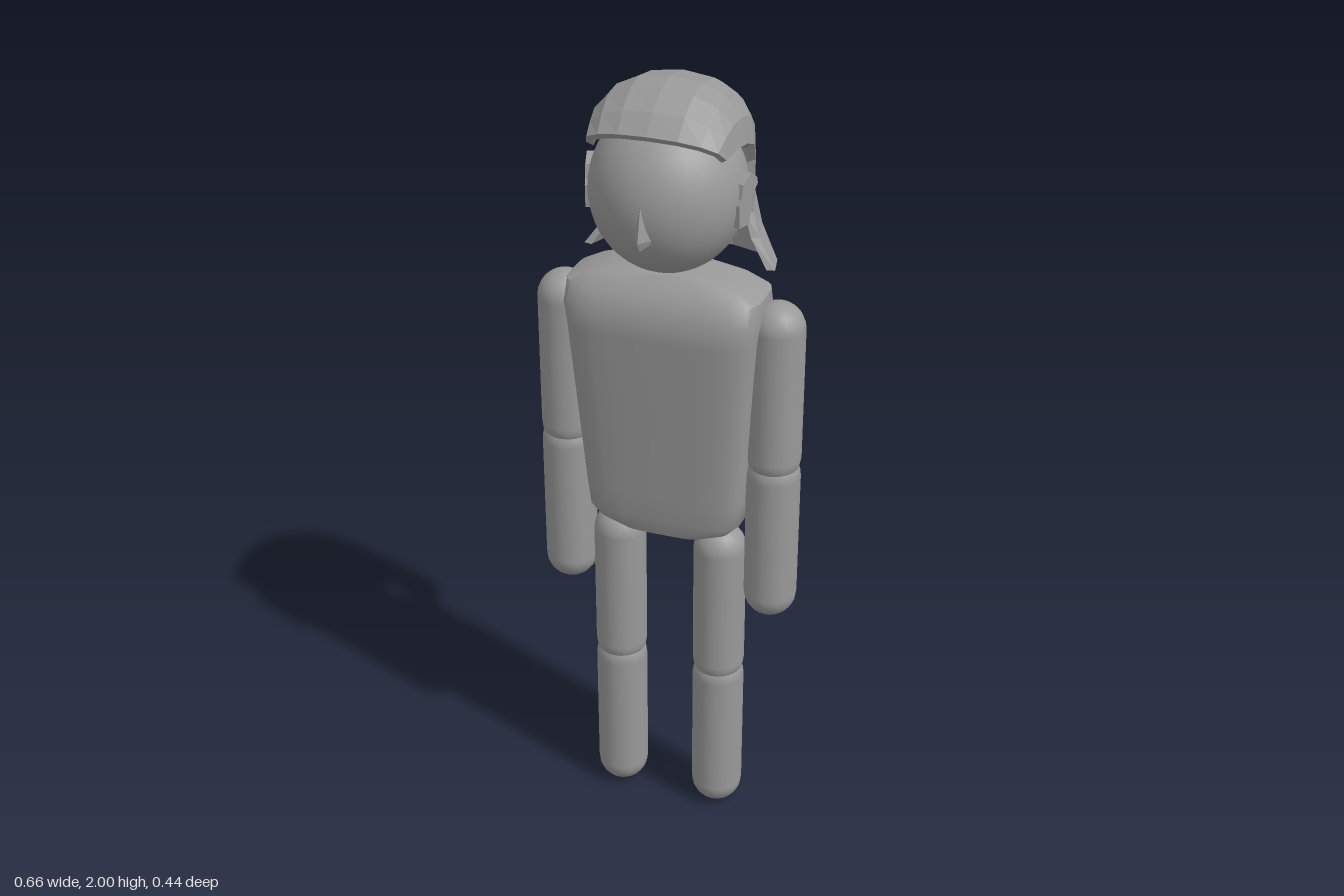
import * as THREE from 'three';
import { toCreasedNormals } from 'three/addons/utils/BufferGeometryUtils.js';
import { ConvexGeometry } from 'three/addons/geometries/ConvexGeometry.js';

const grey = new THREE.MeshStandardMaterial({ color: 0x999999 });
grey.name = 'plain grey';

function fromIndexed(pos, idx) {
  const g = new THREE.BufferGeometry();
  g.setAttribute('position', new THREE.Float32BufferAttribute(pos, 3));
  g.setIndex(idx);
  return g;
}

// Torso: rounded-box cross-sections [y, half width, front z, back z]
function torsoGeometry() {
  const rows = [
    [0.845, 0.11, 0.08, -0.05], [0.865, 0.17, 0.085, -0.065], [0.89, 0.195, 0.09, -0.075],
    [0.957, 0.203, 0.095, -0.09], [1.2, 0.22, 0.113, -0.082], [1.4, 0.235, 0.13, -0.094],
    [1.455, 0.242, 0.133, -0.1], [1.505, 0.238, 0.11, -0.085], [1.53, 0.19, 0.088, -0.07],
    [1.548, 0.11, 0.07, -0.055],
  ];
  const n = 32, pos = [], idx = [];
  const soft = (t) => Math.sign(t) * Math.pow(Math.abs(t), 0.45);
  for (const [y, w, zf, zb] of rows) {
    for (let j = 0; j < n; j++) {
      const a = (j / n) * Math.PI * 2;
      pos.push(w * soft(Math.cos(a)), y, (zf + zb) / 2 + ((zf - zb) / 2) * soft(Math.sin(a)));
    }
  }
  for (let i = 0; i < rows.length - 1; i++) {
    for (let j = 0; j < n; j++) {
      const a = i * n + j, b = i * n + ((j + 1) % n);
      idx.push(a, a + n, b, b, a + n, b + n);
    }
  }
  const last = (rows.length - 1) * n, low = rows.length * n;
  pos.push(0, rows[0][0], 0.015, 0, 1.55, 0.008);
  for (let j = 0; j < n; j++) {
    const k = (j + 1) % n;
    idx.push(low, j, k, low + 1, last + k, last + j);
  }
  return toCreasedNormals(fromIndexed(pos, idx), 0.75);
}

// Hair: a faceted shell swept from the fringe over the crown to the back hem
function hairGeometry() {
  // [centre y, centre z, edge x, edge y, edge z]
  const rows = [
    [1.912, 0.155, 0.165, 1.86, 0.1], [1.955, 0.115, 0.17, 1.865, 0.07],
    [1.99, 0.06, 0.175, 1.868, 0.04], [2.0, 0, 0.177, 1.86, -0.01],
    [1.985, -0.085, 0.178, 1.84, -0.06], [1.955, -0.15, 0.172, 1.79, -0.095],
    [1.885, -0.2, 0.167, 1.72, -0.1], [1.735, -0.212, 0.168, 1.66, -0.095],
    [1.63, -0.22, 0.19, 1.605, -0.078], [1.525, -0.218, 0.237, 1.54, -0.053],
  ];
  const n = 9, count = rows.length * n, outer = [], inner = [], idx = [];
  for (const [cy, cz, ex, ey, ez] of rows) {
    for (let j = 0; j < n; j++) {
      const a = (j / (n - 1) - 0.5) * Math.PI;
      const s = Math.sign(a) * Math.pow(Math.abs(Math.sin(a)), 0.9);
      const c = Math.pow(Math.max(0, Math.cos(a)), 0.85);
      const p = new THREE.Vector3(ex * s, ey + (cy - ey) * c, ez + (cz - ez) * c);
      const inward = new THREE.Vector3(0, Math.min(p.y, 1.74), 0).sub(p).setLength(0.02);
      outer.push(...p.toArray());
      inner.push(...p.add(inward).toArray());
    }
  }
  for (let i = 0; i < rows.length - 1; i++) {
    for (let j = 0; j < n - 1; j++) {
      const a = i * n + j, b = a + 1, c = a + n, d = c + 1;
      idx.push(a, b, c, b, d, c);
      idx.push(a + count, c + count, b + count, b + count, c + count, d + count);
    }
  }
  // rim joining the outer and inner skins
  const rim = [];
  for (let j = 0; j < n - 1; j++) rim.push(j);
  for (let i = 0; i < rows.length - 1; i++) rim.push(i * n + n - 1);
  for (let j = n - 1; j > 0; j--) rim.push((rows.length - 1) * n + j);
  for (let i = rows.length - 1; i > 0; i--) rim.push(i * n);
  rim.forEach((a, k) => {
    const b = rim[(k + 1) % rim.length];
    idx.push(b, a, a + count, b, a + count, b + count);
  });
  const g = fromIndexed([...outer, ...inner], idx).toNonIndexed();
  g.computeVertexNormals();
  return g;
}

// Ear: a thin notched outline, drawn as (-z, y) about its middle
function earGeometry() {
  const outline = [
    [-0.038, -0.055], [0.0, -0.058], [0.013, -0.02], [0.012, 0.005], [0.036, 0.03],
    [0.034, 0.045], [0.008, 0.064], [-0.025, 0.045], [-0.032, 0.012], [-0.04, 0.0],
  ].map(([u, v]) => new THREE.Vector2(u, v));
  const g = new THREE.ExtrudeGeometry(new THREE.Shape(outline), { depth: 0.024, bevelEnabled: false });
  return g.translate(0, 0, -0.012);
}

export function createModel() {
  const model = new THREE.Group();
  model.name = 'figure';
  const add = (name, geometry, x = 0, y = 0, z = 0) => {
    const mesh = new THREE.Mesh(geometry, grey);
    mesh.name = name;
    mesh.position.set(x, y, z);
    model.add(mesh);
    return mesh;
  };

  add('torso', torsoGeometry());
  add('hair', hairGeometry());

  // Head and nose
  add('head', new THREE.SphereGeometry(1, 32, 24).scale(0.184, 0.198, 0.184), 0, 1.743, 0.015);
  add('nose', new ConvexGeometry([
    [0, 1.79, 0.185], [0, 1.75, 0.203], [0, 1.685, 0.218], [0, 1.662, 0.205],
    [-0.035, 1.685, 0.17], [0.035, 1.685, 0.17], [-0.014, 1.76, 0.18], [0.014, 1.76, 0.18],
    [0, 1.66, 0.16],
  ].map((p) => new THREE.Vector3(...p))));

  // Limbs and ears, mirrored
  const r = 0.066;
  const limb = (name, x, bottom, top) =>
    add(name, new THREE.CapsuleGeometry(r, top - bottom - 2 * r, 6, 20), x, (top + bottom) / 2, 0.007);
  for (const [side, s] of [['left', 1], ['right', -1]]) {
    limb(side + 'UpperArm', s * 0.266, 1.02, 1.492);
    limb(side + 'Forearm', s * 0.266, 0.632, 1.098);
    limb(side + 'Thigh', s * 0.133, 0.395, 0.862);
    limb(side + 'Shin', s * 0.133, 0, 0.475);
    const ear = add(side + 'Ear', earGeometry(), s * 0.183, 1.74, 0.022);
    ear.rotation.y = Math.PI / 2 - s * 0.25;
  }
  return model;
}
